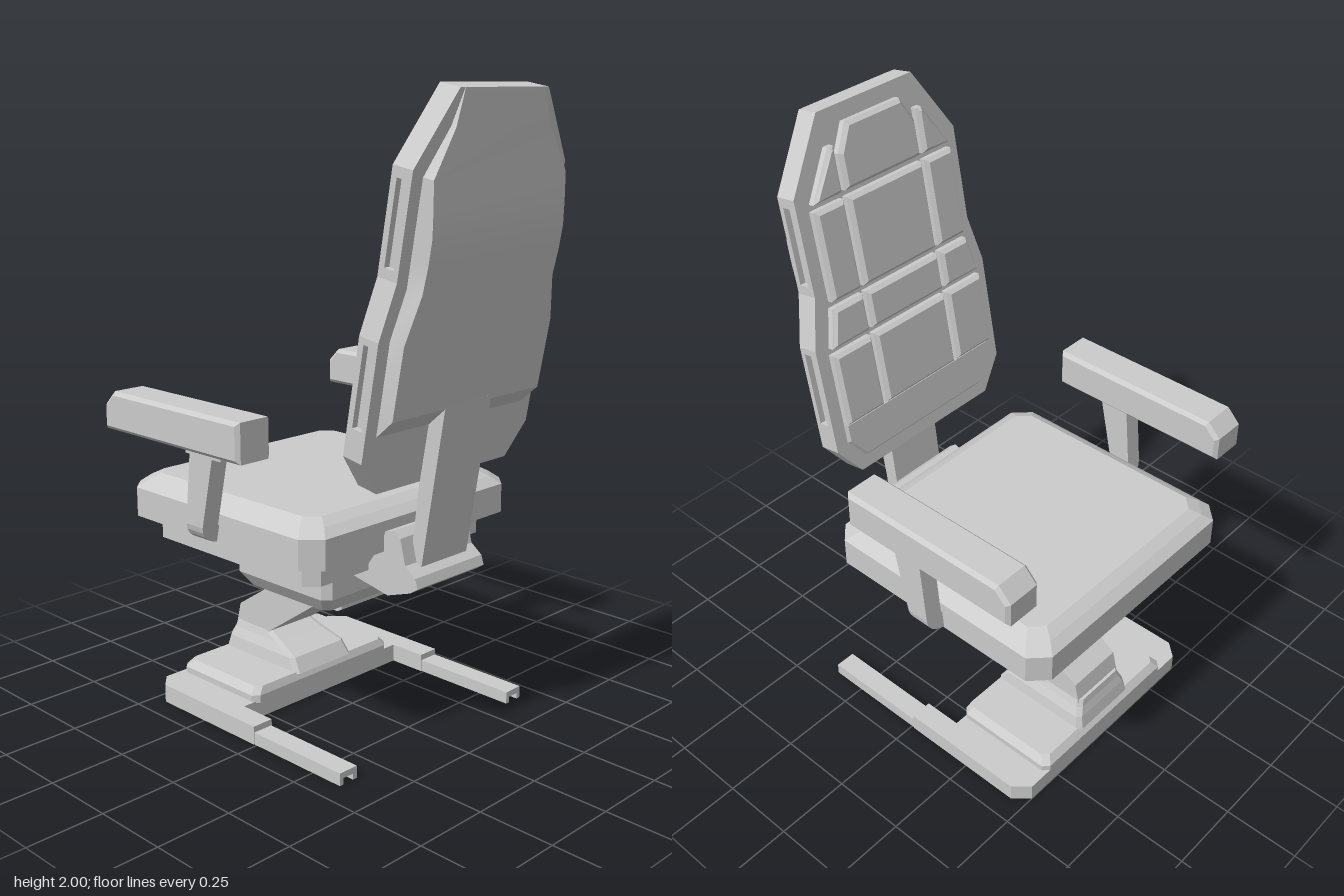
import * as THREE from 'three';
import { toCreasedNormals } from 'three/addons/utils/BufferGeometryUtils.js';

const flat = new THREE.MeshStandardMaterial({ color: 0xcccccc, flatShading: true });
const smooth = new THREE.MeshStandardMaterial({ color: 0xcccccc });

const toShape = (pts) => new THREE.Shape(pts.map(([x, y]) => new THREE.Vector2(x, y)));
const mirrorX = (half) => [...half, ...half.map(([x, y]) => [-x, y]).reverse()];

function extrude(shape, depth, bevel = 0) {
  return new THREE.ExtrudeGeometry(shape, {
    depth: depth - 2 * bevel, bevelEnabled: bevel > 0, bevelSize: bevel, bevelOffset: -bevel,
    bevelThickness: bevel, bevelSegments: 1, curveSegments: 5,
  }).translate(0, 0, bevel);
}

// Outline in (z, y), extruded across x from x0 to x1
const sideExtrude = (pts, x0, x1, bevel) =>
  extrude(toShape(pts), x1 - x0, bevel).rotateY(-Math.PI / 2).translate(x1, 0, 0);

// Outline in (x, z), extruded upwards from y0 to y1, with an optional hole
function planExtrude(pts, y0, y1, hole) {
  const flip = (p) => p.map(([x, z]) => [x, -z]);
  const shape = toShape(flip(pts));
  if (hole) shape.holes.push(toShape(flip(hole)));
  return extrude(shape, y1 - y0).rotateX(-Math.PI / 2).translate(0, y0, 0);
}

// Rings of [x, y, z] from bottom to top, each running z then x, closed by caps
function loft(rings) {
  const v = [];
  const tri = (a, b, c) => v.push(...a, ...b, ...c);
  const n = rings[0].length;
  for (let i = 0; i < rings.length - 1; i++) {
    for (let j = 0; j < n; j++) {
      const k = (j + 1) % n, a = rings[i], b = rings[i + 1];
      tri(a[j], a[k], b[k]);
      tri(a[j], b[k], b[j]);
    }
  }
  const bottom = rings[0], top = rings[rings.length - 1];
  for (let j = 1; j < n - 1; j++) {
    tri(bottom[0], bottom[j + 1], bottom[j]);
    tri(top[0], top[j], top[j + 1]);
  }
  const g = new THREE.BufferGeometry();
  g.setAttribute('position', new THREE.Float32BufferAttribute(v, 3));
  g.computeVertexNormals();
  return g;
}

// Rectangle with cut corners at height y
const octagon = (y, h, z0, z1, c) => [
  [-h, z0 + c], [-h, z1 - c], [-h + c, z1], [h - c, z1],
  [h, z1 - c], [h, z0 + c], [h - c, z0], [-h + c, z0],
].map(([x, z]) => [x, y, z]);

function moveVertices(g, rule) {
  const p = g.attributes.position;
  for (let i = 0; i < p.count; i++) p.setXYZ(i, ...rule(p.getX(i), p.getY(i), p.getZ(i)));
  g.computeVertexNormals();
  return g;
}

// Leans an upright backrest part; z is the depth behind the backrest face
const lean = (g) => moveVertices(g, (x, y, z) => [x, y - 0.18 * z, 0.51 - (2 - y) * 0.18 + z]);

export function createModel() {
  const model = new THREE.Group();
  const add = (name, geometry, material = flat, parent = model) => {
    const mesh = new THREE.Mesh(geometry, material);
    mesh.name = name;
    parent.add(mesh);
    return mesh;
  };

  // Base: U-shaped hollow foot, raised plate, channelled rear legs
  add('baseFrame', planExtrude(
    mirrorX([[0.35, -0.14], [0.35, -0.01], [0.425, -0.01], [0.425, -0.45], [0.38, -0.5]]),
    0, 0.06, mirrorX([[0.28, -0.18], [0.28, -0.46]])));
  add('basePlate', loft([
    octagon(0.055, 0.31, -0.5, -0.13, 0.02),
    octagon(0.08, 0.31, -0.5, -0.13, 0.02),
    octagon(0.105, 0.29, -0.48, -0.14, 0.02),
  ]));
  for (const s of [-1, 1]) {
    const channel = toShape([[-0.035, 0], [-0.035, 0.04], [0.035, 0.04], [0.035, 0],
      [0.02, 0], [0.02, 0.02], [-0.02, 0.02], [-0.02, 0]]);
    add('rearLeg', extrude(channel, 0.39).translate(s * 0.388, 0, -0.025));
  }

  // Column: flared foot and slanted arm
  add('columnFoot', loft([
    octagon(0.1, 0.13, -0.49, -0.13, 0.015),
    octagon(0.145, 0.122, -0.48, -0.16, 0.015),
    octagon(0.175, 0.108, -0.47, -0.24, 0.015),
    octagon(0.2, 0.1, -0.465, -0.3, 0.015),
  ]));
  add('columnArm', sideExtrude([[0.05, 0.4], [0.05, 0.37], [0.03, 0.36], [-0.06, 0.36],
    [-0.3, 0.195], [-0.36, 0.12], [-0.475, 0.12], [-0.44, 0.26], [-0.22, 0.405]], -0.1, 0.1));

  // Seat: swivel housing, hollow pan, cushion
  add('swivelHousing', loft([
    octagon(0.4, 0.2, -0.275, 0.085, 0.02),
    octagon(0.45, 0.235, -0.31, 0.12, 0.025),
    octagon(0.64, 0.235, -0.31, 0.12, 0.025),
  ]));
  const panOutline = (h, z0, z1, c) => octagon(0, h, z0, z1, c).map(([x, , z]) => [x, z]);
  add('seatPan', planExtrude(panOutline(0.395, -0.515, 0.22, 0.04), 0.56, 0.64,
    panOutline(0.32, -0.44, 0.145, 0.02)));
  add('seatCushion', loft([
    octagon(0.635, 0.455, -0.58, 0.285, 0.055),
    octagon(0.73, 0.455, -0.58, 0.285, 0.055),
    octagon(0.755, 0.425, -0.55, 0.255, 0.05),
    octagon(0.775, 0.39, -0.515, 0.22, 0.04),
  ]));

  // Armrests with slanted posts that hook in under the seat edge
  for (const s of [-1, 1]) {
    const arm = new THREE.Group();
    arm.name = s > 0 ? 'leftArmrest' : 'rightArmrest';
    model.add(arm);
    const [x0, x1] = s > 0 ? [0.425, 0.555] : [-0.555, -0.425];
    add('armPad', sideExtrude([[0.09, 0.94], [0.09, 1.065], [-0.5, 1.065], [-0.545, 1.02], [-0.545, 0.94]],
      x0, x1, 0.012), flat, arm);
    add('postCollar', new THREE.BoxGeometry(0.064, 0.02, 0.16).translate(s * 0.49, 0.933, -0.105), flat, arm);
    const hook = new THREE.Shape();
    hook.moveTo(s * 0.46, 0.94);
    hook.lineTo(s * 0.52, 0.94);
    hook.lineTo(s * 0.52, 0.7);
    hook.quadraticCurveTo(s * 0.515, 0.65, s * 0.45, 0.64);
    hook.lineTo(s * 0.45, 0.69);
    hook.lineTo(s * 0.46, 0.7);
    add('armPost', moveVertices(extrude(hook, 1), (x, y, z) => {
      const t = (0.94 - y) / 0.3;
      return [x, y, -0.115 - 0.05 * t + (z - 0.5) * (0.105 - 0.035 * t)];
    }), flat, arm);
  }

  // Backrest support
  add('backBracket', sideExtrude([[0.42, 0.55], [0.41, 0.58], [0.37, 0.61], [0.35, 0.69], [0.325, 0.71],
    [0.29, 0.7], [0.275, 0.66], [0.22, 0.58], [0.12, 0.565], [0.12, 0.535], [0.3, 0.5], [0.39, 0.53]],
  -0.155, 0.15));
  add('backBar', sideExtrude([[0.475, 1.105], [0.39, 0.6], [0.345, 0.6], [0.41, 1.105]], -0.105, 0.1));

  // Backrest shell: two full plates around a core with side slots
  const outline = [[0.29, 0.875], [0.37, 0.98], [0.37, 1.33], [0.33, 1.49], [0.33, 1.79], [0.19, 2]];
  const slotted = [[0.29, 0.875], [0.37, 0.98], [0.37, 1.07], [0.35, 1.07], [0.35, 1.31], [0.37, 1.31],
    [0.37, 1.33], [0.33, 1.49], [0.33, 1.52], [0.31, 1.52], [0.31, 1.76], [0.33, 1.76], [0.33, 1.79], [0.19, 2]];
  for (const [name, half, d0, d1] of [['shellFront', outline, 0, 0.02], ['shellCore', slotted, 0.02, 0.055],
    ['shellBack', outline, 0.055, 0.072]]) {
    add(name, lean(extrude(toShape(mirrorX(half)), d1 - d0).translate(0, 0, d0)));
  }

  // Curved rear panel from rows of height, half width and depth
  const rows = [[1.05, 0.325, 0.07], [1.115, 0.325, 0.122], [1.33, 0.325, 0.124], [1.47, 0.287, 0.129],
    [1.55, 0.287, 0.134], [1.62, 0.287, 0.134], [1.69, 0.287, 0.124], [1.77, 0.287, 0.11],
    [1.9, 0.205, 0.09], [2, 0.17, 0.073]];
  const panel = loft(rows.map(([y, w, d]) =>
    [[-w, y, 0.05], [-w, y, d], [w, y, d], [w, y, 0.05]]));
  add('rearPanel', toCreasedNormals(lean(panel), 0.5), smooth);

  // Front padding: centre column and mirrored bolsters, row by row
  const pad = (name, pts) =>
    add(name, lean(extrude(toShape(pts), 0.055, 0.012).translate(0, 0, -0.03)));
  for (const [y0, y1, w] of [[1.06, 1.3, 0.155], [1.32, 1.44, 0.155], [1.46, 1.74, 0.155]]) {
    pad('centrePad', mirrorX([[w, y0], [w, y1]]));
  }
  pad('headPad', mirrorX([[0.155, 1.76], [0.155, 1.87], [0.11, 1.95]]));
  const bolsters = [
    [[0.168, 1.06], [0.325, 1.06], [0.325, 1.3], [0.168, 1.3]],
    [[0.168, 1.32], [0.32, 1.32], [0.29, 1.44], [0.168, 1.44]],
    [[0.168, 1.46], [0.285, 1.46], [0.285, 1.74], [0.168, 1.74]],
    [[0.168, 1.76], [0.28, 1.76], [0.19, 1.9], [0.168, 1.9]],
  ];
  for (const s of [-1, 1]) {
    for (const pts of bolsters) pad('bolster', pts.map(([x, y]) => [s * x, y]));
  }
  add('lumbarPad', lean(extrude(toShape(mirrorX([[0.265, 0.92], [0.325, 0.995], [0.325, 1.06]])), 0.03, 0.008)
    .translate(0, 0, -0.01)));

  return model;
}
